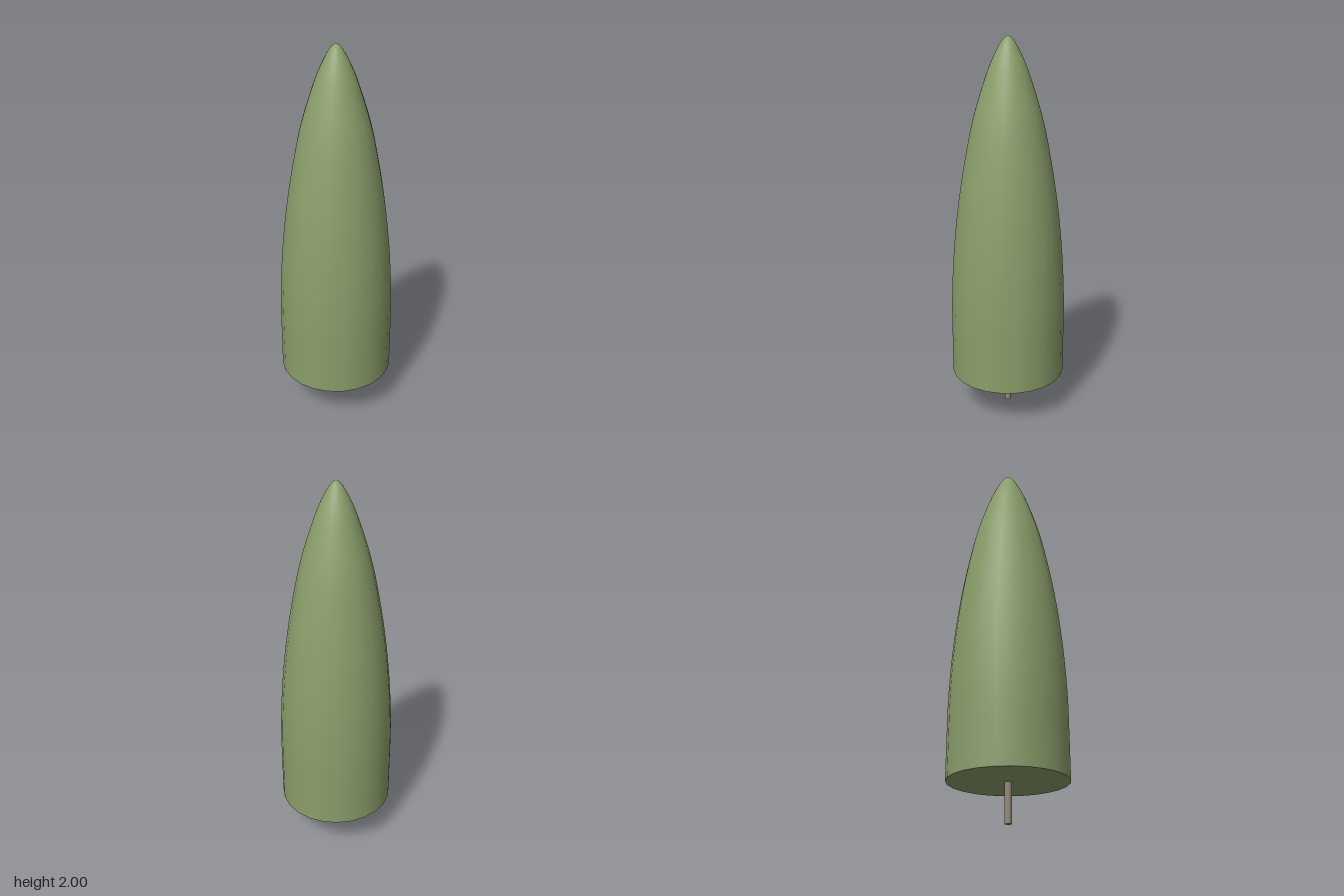
import * as THREE from 'three';

const SIDES = 24;

function part(name, geometry, color) {
  const mesh = new THREE.Mesh(geometry, new THREE.MeshStandardMaterial({ color }));
  mesh.name = name;
  return mesh;
}

export function createModel() {
  const group = new THREE.Group();
  group.name = 'columnarTree';
  const green = 0x8b9e6b;

  // Foliage: straight skirt curving in to a narrow rounded tip
  const curve = new THREE.SplineCurve([
    [0.305, 0.2], [0.305, 0.4], [0.304, 0.6], [0.295, 0.8], [0.278, 1.0],
    [0.253, 1.2], [0.219, 1.4], [0.176, 1.6], [0.113, 1.8], [0.072, 1.9],
    [0.03, 1.975], [0, 2],
  ].map(([r, y]) => new THREE.Vector2(r, y)));
  const profile = curve.getPoints(33);
  profile.forEach((p) => { p.x = THREE.MathUtils.clamp(p.x, 0, 0.305); });
  group.add(part('foliage', new THREE.LatheGeometry(profile, SIDES), green));

  // Flat underside closing the foliage
  const base = part('foliageBase', new THREE.CircleGeometry(0.305, SIDES), green);
  base.rotation.x = Math.PI / 2;
  base.position.y = 0.2;
  group.add(base);

  // Thin trunk
  const trunk = part('trunk', new THREE.CylinderGeometry(0.018, 0.018, 0.2, 8), 0x958b78);
  trunk.position.y = 0.1;
  group.add(trunk);

  return group;
}
